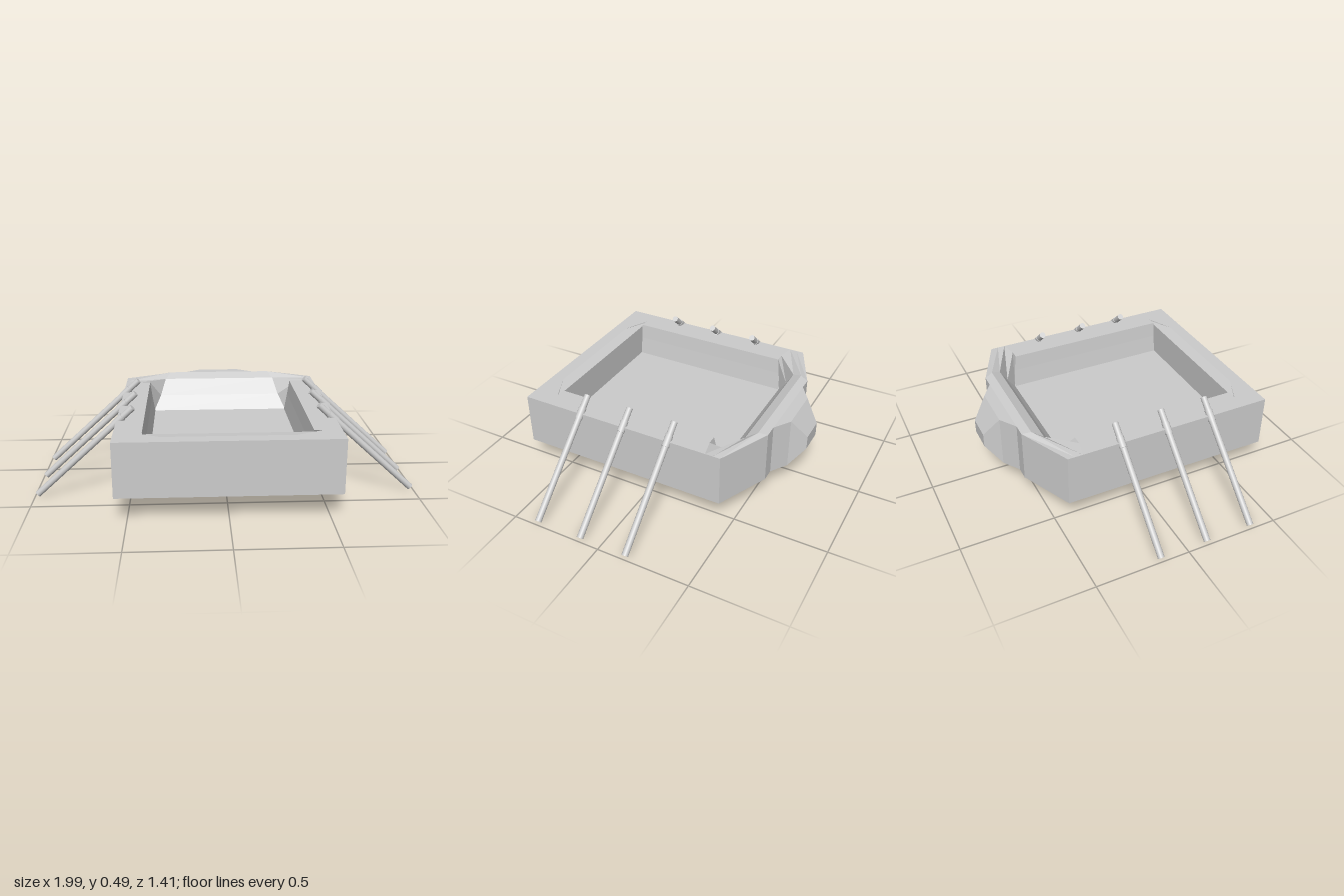
import * as THREE from 'three';

const mat = new THREE.MeshStandardMaterial({ color: 0xcccccc, flatShading: true, side: THREE.DoubleSide });
const smooth = new THREE.MeshStandardMaterial({ color: 0xcccccc });
const TOP = 0.415, BOTTOM = 0.13, FLOOR = 0.23;

function add(group, name, geometry, material = mat) {
  const mesh = new THREE.Mesh(geometry, material);
  mesh.name = name;
  group.add(mesh);
  return mesh;
}

// Join rows of equally many [x, y, z] points with quads.
function loft(rows, closed = false) {
  const pos = [];
  for (let r = 0; r < rows.length - 1; r++) {
    const a = rows[r], b = rows[r + 1], n = a.length;
    for (let i = 0; i < (closed ? n : n - 1); i++) {
      const j = (i + 1) % n;
      pos.push(...a[i], ...b[i], ...b[j], ...a[i], ...b[j], ...a[j]);
    }
  }
  const g = new THREE.BufferGeometry();
  g.setAttribute('position', new THREE.Float32BufferAttribute(pos, 3));
  g.computeVertexNormals();
  return g;
}

// Complete a right-to-left row from its +x half.
const mirror = (half) => [...half, ...half.map(([x, ...rest]) => [-x, ...rest]).reverse()];

// Flat horizontal plate from [x, z] points, facing up or down.
function plate(points, y, up = true) {
  const s = up ? -1 : 1;
  const shape = new THREE.Shape(points.map(([x, z]) => new THREE.Vector2(x, s * z)));
  return new THREE.ShapeGeometry(shape).rotateX(s * Math.PI / 2).translate(0, y, 0);
}

export function createModel() {
  const model = new THREE.Group();

  // Hull sides and bottom
  const outline = mirror([[0.12, -0.63], [0.21, -0.57], [0.28, -0.57], [0.56, -0.44], [0.56, 0.705]]);
  const ring = (y) => outline.map(([x, z]) => [x, y, z]);
  add(model, 'hullSides', loft([ring(TOP), ring(BOTTOM)]));
  add(model, 'hullBottom', plate(outline, BOTTOM, false));

  // Tapered nose
  const section = (x, y0, y1, z) => [[x, y0, z], [x, y1, z], [-x, y1, z], [-x, y0, z]];
  const tip = section(0.07, 0.235, 0.31, -0.71);
  add(model, 'nose', loft([section(0.12, BOTTOM, TOP, -0.63), tip], true));
  add(model, 'noseTip', loft([[tip[0], tip[1]], [tip[3], tip[2]]]));
  add(model, 'noseDeck', plate(mirror([[0.12, -0.63], [0.21, -0.57], [0.28, -0.57]]), TOP));

  // U-shaped flat deck around the well
  add(model, 'deck', plate([
    [0.56, -0.36], [0.56, 0.705], [-0.56, 0.705], [-0.56, -0.36], [-0.47, -0.34], [-0.42, -0.34],
    [-0.42, 0.57], [-0.47, 0.57], [-0.33, 0.635], [0.33, 0.635], [0.47, 0.57], [0.42, 0.57],
    [0.42, -0.34], [0.47, -0.34],
  ], TOP));

  // Raised back rim curving down into the well
  add(model, 'backRim', loft([
    [[0.56, TOP, -0.44], [0.28, TOP, -0.57]],
    [[0.56, TOP, -0.40], [0.30, 0.427, -0.525]],
    [[0.56, TOP, -0.36], [0.33, 0.40, -0.47]],
    [[0.47, TOP, -0.34], [0.36, 0.31, -0.42]],
    [[0.42, TOP, -0.34], [0.40, FLOOR, -0.365]],
  ].map(mirror)));

  // Sloped front lip and the well's front wall
  add(model, 'frontLip', loft([
    [[0.33, TOP, 0.635]], [[0.47, 0.407, 0.57]], [[0.40, FLOOR, 0.57]],
  ].map(mirror)));

  // Well side walls and floor
  for (const s of [1, -1]) {
    add(model, s > 0 ? 'leftWellWall' : 'rightWellWall', loft([
      [[s * 0.42, TOP, -0.34], [s * 0.42, TOP, 0.57]],
      [[s * 0.41, 0.33, -0.355], [s * 0.41, 0.33, 0.57]],
      [[s * 0.395, FLOOR, -0.365], [s * 0.395, FLOOR, 0.57]],
    ]));
  }
  add(model, 'wellFloor', plate([[0.40, -0.365], [0.40, 0.57], [-0.40, 0.57], [-0.40, -0.365]], FLOOR));

  // Three oars a side, each with a short sleeve at the rim
  for (const s of [1, -1]) {
    for (const z of [0.367, 0.112, -0.147]) {
      const oar = new THREE.Group();
      oar.name = s > 0 ? 'leftOar' : 'rightOar';
      const from = new THREE.Vector3(s * 0.985, 0.014, z), to = new THREE.Vector3(s * 0.475, 0.48, z);
      const dir = to.clone().sub(from), length = dir.length();
      oar.position.copy(from).add(to).multiplyScalar(0.5);
      oar.quaternion.setFromUnitVectors(new THREE.Vector3(0, 1, 0), dir.normalize());
      add(oar, 'shaft', new THREE.CylinderGeometry(0.017, 0.017, length, 16), smooth);
      add(oar, 'sleeve', new THREE.CylinderGeometry(0.02, 0.02, 0.06, 16), smooth).position.y = length / 2 - 0.1;
      model.add(oar);
    }
  }
  return model;
}
